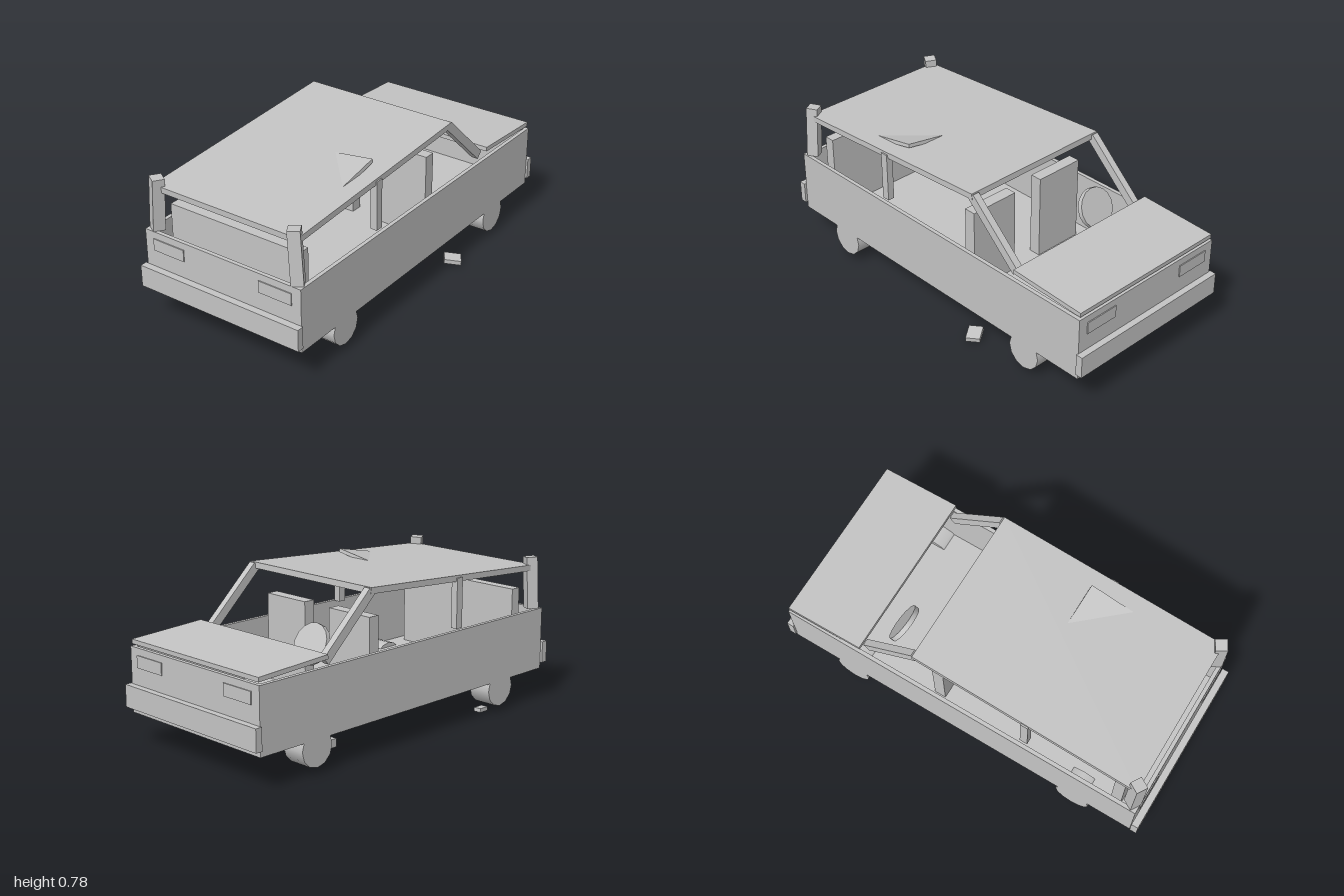
import * as THREE from 'three';

export function createModel() {
  const model = new THREE.Group();
  model.name = 'wreckedCar';
  const grey = new THREE.MeshStandardMaterial({ color: 0xc4c4c4 });
  grey.name = 'bareGrey';

  // The car is symmetric about its own centre line; debris sits outside it
  const car = new THREE.Group();
  car.name = 'car';
  car.position.x = -0.015;
  model.add(car);

  function add(parent, name, geometry, pos, rot = [0, 0, 0]) {
    const mesh = new THREE.Mesh(geometry, grey);
    mesh.name = name;
    mesh.position.set(...pos);
    mesh.rotation.set(...rot);
    parent.add(mesh);
    return mesh;
  }
  const box = (name, size, pos, rot, parent = car) =>
    add(parent, name, new THREE.BoxGeometry(...size), pos, rot);

  // Box spanning two heights and depths in the side plane
  function beam(name, x, [y0, z0], [y1, z1], width, thickness) {
    const dy = y1 - y0, dz = z1 - z0;
    return box(name, [width, thickness, Math.hypot(dy, dz)],
      [x, (y0 + y1) / 2, (z0 + z1) / 2], [-Math.atan2(dy, dz), 0, 0]);
  }

  // Open body tub: floor, side walls, end walls
  box('floor', [0.89, 0.025, 1.93], [0, 0.178, -0.003]);
  for (const s of [-1, 1]) {
    box('sideWall', [0.02, 0.32, 1.93], [s * 0.435, 0.325, -0.003]);
    box('endWall', [0.85, 0.32, 0.02], [0, 0.325, s * 0.955 - 0.003]);
    box('bumper', [0.91, 0.11, 0.035], [0, 0.25, s * 0.9825]);
    for (const t of [-1, 1]) {
      box('lamp', [0.18, 0.06, 0.008], [t * 0.305, 0.42, s * 0.966 - 0.003]);
    }
  }

  // Sloping hood and roof
  beam('hood', 0, [0.508, -0.965], [0.527, -0.557], 0.875, 0.022);
  beam('roof', 0, [0.695, 0.93], [0.769, -0.26], 0.82, 0.03);

  // Roof supports on both sides
  for (const s of [-1, 1]) {
    beam('windscreenPillar', s * 0.39, [0.765, -0.25], [0.495, -0.54], 0.035, 0.045);
    box('middlePillar', [0.035, 0.25, 0.04], [s * 0.4, 0.61, 0.345]);
    const corner = new THREE.Group();
    corner.name = 'cornerPillar';
    corner.position.set(s * 0.395, 0.617, 0.925);
    corner.rotation.z = s * 0.06;
    box('cornerPost', [0.058, 0.265, 0.058], [0, 0, 0], [0, s * 0.54, 0], corner);
    car.add(corner);
  }

  // Loose panel jammed through the roof
  box('loosePanel', [0.435, 0.018, 0.385], [0.11, 0.704, 0.45], [0.2, 0, 0.15]);

  // Seats and steering wheel
  for (const s of [-1, 1]) {
    box('frontSeat', [0.263, 0.435, 0.06], [s * 0.215, 0.4075, -0.175]);
  }
  box('rearSeat', [0.74, 0.405, 0.055], [0, 0.3925, 0.8375]);
  add(car, 'steeringWheel', new THREE.CylinderGeometry(0.1, 0.1, 0.025, 16),
    [-0.215, 0.52, -0.445], [-1.1, 0, 0]);

  // Wheels, axles and underbody boxes
  for (const z of [0.64, -0.633]) {
    for (const s of [-1, 1]) {
      add(car, 'wheel', new THREE.CylinderGeometry(0.091, 0.091, 0.12, 12),
        [s * 0.385, 0.125, z], [0, 0, Math.PI / 2]);
    }
    box('axle', [0.56, 0.066, 0.07], [0, 0.133, z]);
    box('underbodyBox', [0.22, 0.055, 0.12], [0, 0.1385, Math.sign(z) * 0.745]);
  }
  add(car, 'exhaustPipe', new THREE.CylinderGeometry(0.025, 0.025, 1.11, 12),
    [0.205, 0.138, 0.005], [Math.PI / 2, 0, 0]);

  // Debris lying on the ground
  box('debrisChip', [0.038, 0.02, 0.062], [-0.405, 0.022, 0.56], [0.05, 0.06, 0], model);
  box('debrisBlock', [0.088, 0.042, 0.135], [-0.232, 0.032, -0.4], [0.03, 0.05, 0], model);
  box('debrisShard', [0.085, 0.023, 0.07], [0.412, 0.0225, -0.288], [0.06, 0.6, -0.17], model);

  return model;
}
